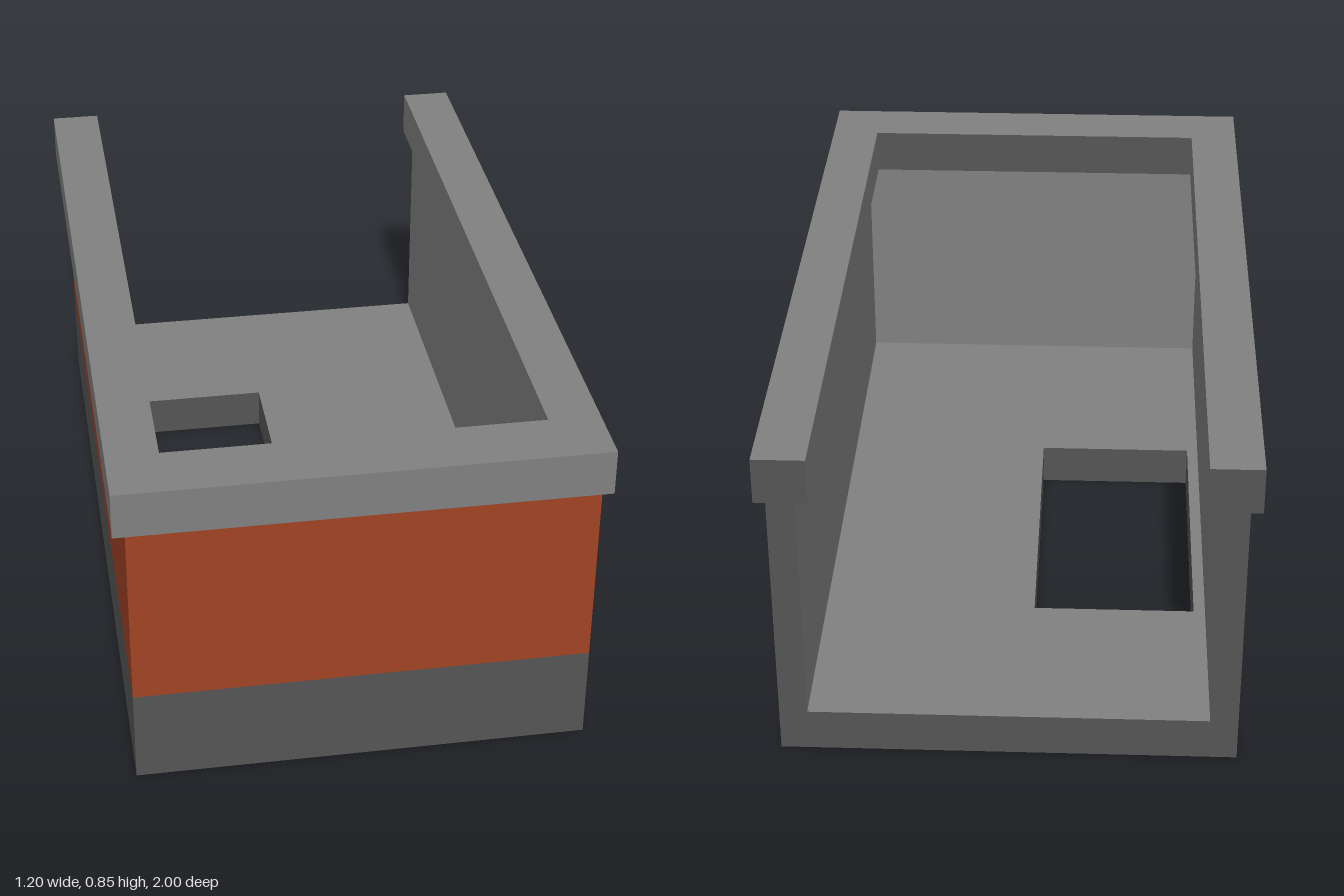
import * as THREE from 'three';

export function createModel() {
  const group = new THREE.Group();
  const material = (name, color) => {
    const m = new THREE.MeshStandardMaterial({ color });
    m.name = name;
    return m;
  };
  const stone = material('light stone', 0x808080);
  const dark = material('dark concrete', 0x555555);
  const brick = material('brick red', 0xa04323);

  // Box between two corners; materials in order +x, -x, +y, -y, +z, -z
  function block(name, [x0, y0, z0], [x1, y1, z1], materials) {
    const geometry = new THREE.BoxGeometry(x1 - x0, y1 - y0, z1 - z0);
    const mesh = new THREE.Mesh(geometry, materials);
    mesh.position.set((x0 + x1) / 2, (y0 + y1) / 2, (z0 + z1) / 2);
    mesh.name = name;
    group.add(mesh);
  }

  // Walls in two bands: outer colour outside, stone inside, dark open back ends
  const bands = [
    { name: 'Plinth', y0: 0, y1: 0.25, outer: dark },
    { name: 'Brick', y0: 0.25, y1: 0.73, outer: brick },
  ];
  for (const { name, y0, y1, outer } of bands) {
    block('left' + name, [0.5, y0, -1], [0.57, y1, 1], [outer, stone, stone, dark, outer, dark]);
    block('right' + name, [-0.57, y0, -1], [-0.5, y1, 1], [stone, outer, stone, dark, outer, dark]);
    block('front' + name, [-0.5, y0, 0.87], [0.5, y1, 1], [outer, outer, stone, dark, outer, stone]);
  }

  // U-shaped coping, open at the back
  const coping = [stone, stone, stone, stone, stone, dark];
  block('leftCoping', [0.47, 0.73, -1], [0.6, 0.85, 1], coping);
  block('rightCoping', [-0.6, 0.73, -1], [-0.47, 0.85, 1], coping);
  block('frontCoping', [-0.47, 0.73, 0.84], [0.47, 0.85, 1], coping);

  // Floor outline with a rectangular opening, drawn in x and -z
  const rectangle = (path, x0, x1, z0, z1) => {
    path.moveTo(x0, -z1);
    path.lineTo(x1, -z1);
    path.lineTo(x1, -z0);
    path.lineTo(x0, -z0);
    path.closePath();
    return path;
  };
  const outline = rectangle(new THREE.Shape(), -0.5, 0.5, -1, 0.87);
  outline.holes.push(rectangle(new THREE.Path(), -0.47, -0.05, -0.54, 0.26));

  // Dark slab with a thin stone surface on top
  function floorLayer(name, y, depth, faces) {
    const geometry = new THREE.ExtrudeGeometry(outline, { depth, bevelEnabled: false });
    geometry.rotateX(-Math.PI / 2);
    const mesh = new THREE.Mesh(geometry, [faces, dark]);
    mesh.position.y = y;
    mesh.name = name;
    group.add(mesh);
  }
  floorLayer('floorSlab', 0, 0.106, dark);
  floorLayer('floorSurface', 0.106, 0.006, stone);

  return group;
}
